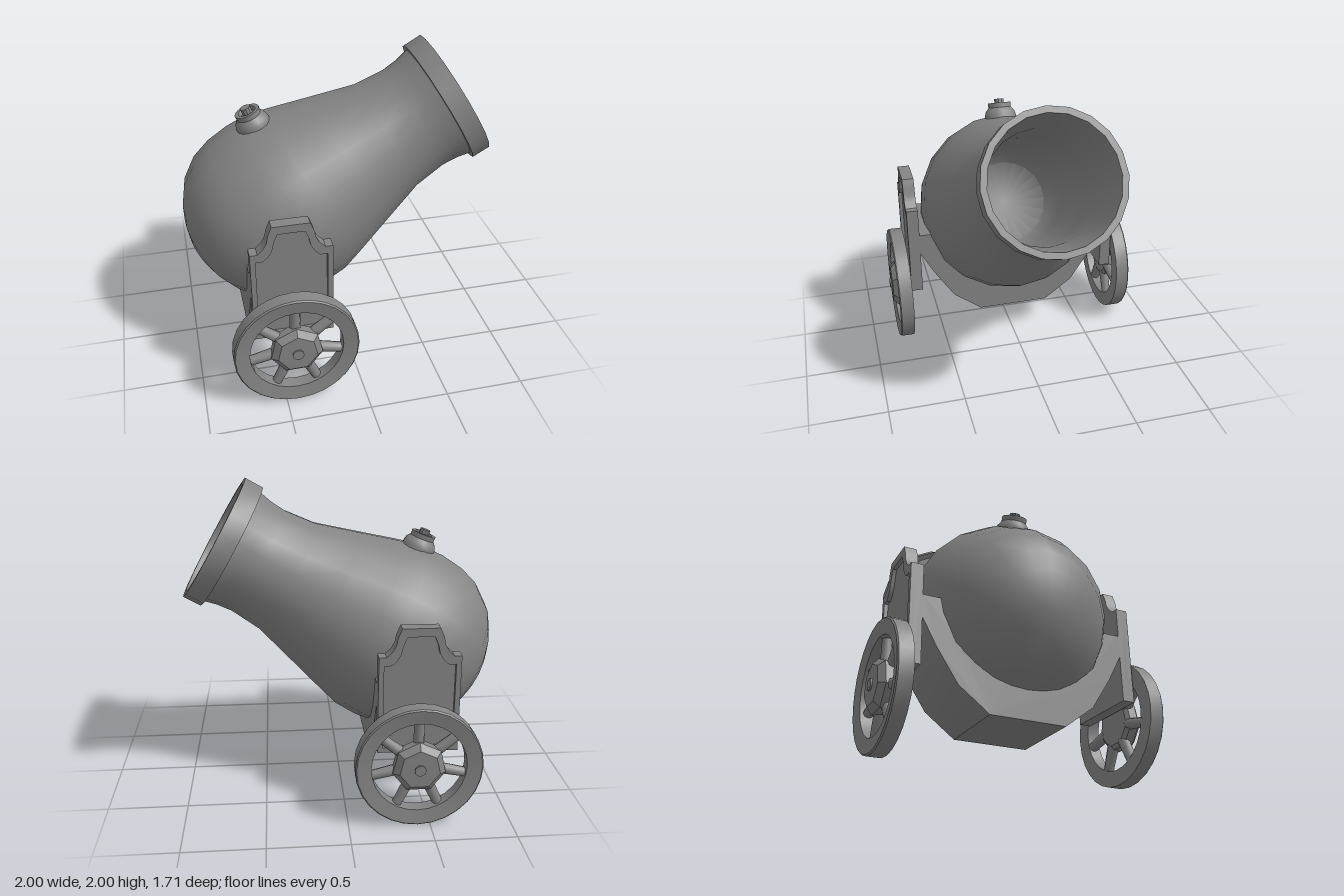
import * as THREE from 'three';
import { toCreasedNormals } from 'three/addons/utils/BufferGeometryUtils.js';

const material = new THREE.MeshStandardMaterial({ color: 0x848484 });
const v2 = (pts) => pts.map(([x, y]) => new THREE.Vector2(x, y));

function add(parent, name, geometry, crease = 0.6) {
  const mesh = new THREE.Mesh(toCreasedNormals(geometry, crease), material);
  mesh.name = name;
  parent.add(mesh);
  return mesh;
}

const lathe = (pts, sides) => new THREE.LatheGeometry(v2(pts), sides);
const extrude = (shape, depth) =>
  new THREE.ExtrudeGeometry(shape, { depth, bevelEnabled: false });

// Outline of a cheek plate, centred on x = 0, shrunk by a side and a top inset
function plateOutline(side, top) {
  const right = [[0.245, 0.455 + side], [0.245, 1.07 - top], [0.2, 1.07 - top], [0.168, 1.1 - top],
    [0.145, 1.14 - top], [0.135, 1.19 - top], [0.112, 1.245 - top]]
    .map(([x, y]) => [x - side, y]);
  const left = right.map(([x, y]) => [-x, y]).reverse();
  return v2([...right, ...left]);
}

// One wheel, axis along z, centred on its own origin in x and y
function createWheel() {
  const wheel = new THREE.Group();
  wheel.name = 'wheel';

  const rim = add(wheel, 'rim', lathe([[0.29, 0.735], [0.388, 0.735], [0.388, 0.822],
    [0.38, 0.83], [0.29, 0.815], [0.29, 0.735]], 28), 0.5);
  rim.rotation.x = Math.PI / 2;

  // Seven-sided hub with a bevelled face and a small axle pin
  const hub = add(wheel, 'hub', lathe([[0, 0.735], [0.14, 0.735], [0.165, 0.755],
    [0.165, 0.81], [0.125, 0.845], [0, 0.848]], 7), 0.1);
  hub.rotation.set(Math.PI / 2, Math.PI, 0);

  const pin = add(wheel, 'axlePin', new THREE.CylinderGeometry(0.035, 0.035, 0.03, 12));
  pin.rotation.x = Math.PI / 2;
  pin.position.z = 0.842;

  for (let k = 0; k < 7; k++) {
    const a = (k / 7) * Math.PI * 2;
    const spoke = add(wheel, 'spoke', new THREE.CylinderGeometry(0.03, 0.036, 0.2, 8), 0.9);
    spoke.position.set(-Math.sin(a) * 0.22, Math.cos(a) * 0.22, 0.765);
    spoke.rotation.z = a;
  }
  wheel.position.y = 0.391;
  return wheel;
}

// Cheek plate with a recessed outer panel, plus its wheel
function createSide() {
  const side = new THREE.Group();
  side.name = 'carriageSide';
  add(side, 'cheekPlate', extrude(new THREE.Shape(plateOutline(0, 0)), 0.053)).position.z = 0.65;
  const frame = new THREE.Shape(plateOutline(0, 0));
  frame.holes.push(new THREE.Path(plateOutline(0.032, 0.052).reverse()));
  add(side, 'cheekFrame', extrude(frame, 0.025)).position.z = 0.702;
  side.add(createWheel());
  return side;
}

export function createModel() {
  const model = new THREE.Group();
  model.name = 'cannon';

  // Barrel: outer skin, muzzle band and bore as one turned profile
  const barrel = add(model, 'barrel', lathe([
    [0, -1.965], [0.16, -1.945], [0.26, -1.908], [0.36, -1.853], [0.47, -1.765],
    [0.555, -1.635], [0.593, -1.5], [0.605, -1.35], [0.597, -1.2], [0.556, -1.06],
    [0.473, -0.796], [0.387, -0.52], [0.364, -0.31], [0.372, -0.21], [0.39, -0.122],
    [0.424, -0.122], [0.424, 0], [0.385, 0], [0.348, -0.31], [0.35, -0.6],
    [0.35, -1.2], [0.28, -1.35], [0, -1.45]], 20), 0.8);
  barrel.position.set(0.785, 1.635, 0);
  barrel.rotation.z = -Math.PI / 3;

  // Fuse holder with a recessed cup and a stub of fuse
  const fuse = new THREE.Group();
  fuse.name = 'fuseHolder';
  add(fuse, 'fuseCup', lathe([[0, -0.06], [0.109, -0.06], [0.109, 0.02], [0.1, 0.05],
    [0.078, 0.076], [0.08, 0.108], [0.056, 0.108], [0.05, 0.08], [0, 0.08]], 16));
  add(fuse, 'fuseStub', new THREE.CylinderGeometry(0.033, 0.033, 0.08, 10)).position.y = 0.095;
  fuse.position.set(-0.517, 1.535, 0);
  fuse.rotation.z = 0.36;
  model.add(fuse);

  // Cradle: a faceted U section under the barrel, extruded along x
  const half = [[0.24, 0.232], [0.43, 0.375], [0.56, 0.575], [0.65, 0.74], [0.65, 0.88],
    [0.53, 0.88], [0.49, 0.72], [0.4, 0.58], [0.28, 0.49], [0.14, 0.45]];
  const mirrored = half.map(([z, y]) => [-z, y]).reverse();
  const cradle = add(model, 'cradle', extrude(new THREE.Shape(v2([...half, ...mirrored])), 0.49), 0.5);
  cradle.rotation.y = Math.PI / 2;
  cradle.position.x = -0.67;

  // Both carriage sides
  for (const turn of [0, Math.PI]) {
    const side = createSide();
    side.position.x = -0.425;
    side.rotation.y = turn;
    model.add(side);
  }
  return model;
}
